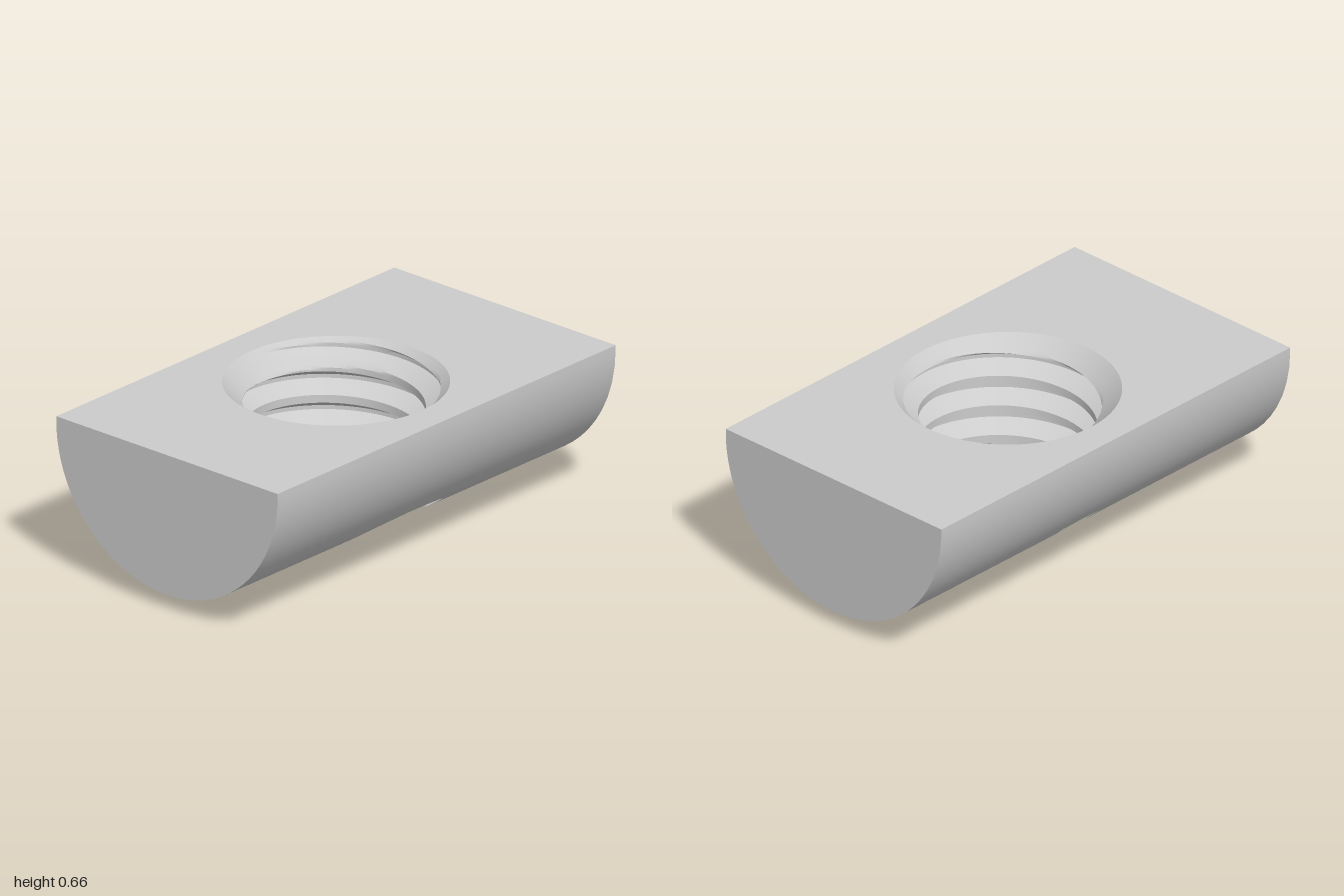
import * as THREE from 'three';
import { toCreasedNormals } from 'three/addons/utils/BufferGeometryUtils.js';

const TOP = 0.66, AXIS = 0.645, R = 0.585, HALF = 1;   // half-round bar
const MINOR = 0.355, MAJOR = 0.43, PITCH = 0.134;      // thread
const MOUTH = 0.45;                                    // countersink radius at the top
const N = 128;                                         // steps around the hole (multiple of 8)
const S_MAX = Math.PI / 2 + (TOP - AXIS) / R;          // bar profile runs from -S_MAX to S_MAX

// Grid surface from a function (i, j) -> [x, y, z]
function grid(nu, nv, f) {
  const pos = [], index = [];
  for (let i = 0; i <= nu; i++) for (let j = 0; j <= nv; j++) pos.push(...f(i, j));
  for (let i = 0; i < nu; i++) for (let j = 0; j < nv; j++) {
    const a = i * (nv + 1) + j, b = a + nv + 1;
    index.push(a, a + 1, b, b, a + 1, b + 1);
  }
  const g = new THREE.BufferGeometry();
  g.setAttribute('position', new THREE.Float32BufferAttribute(pos, 3));
  g.setIndex(index);
  return g;
}

// Point [y, z] on the bar's round profile; straight above the axis
function profile(s) {
  const c = THREE.MathUtils.clamp(s, -Math.PI / 2, Math.PI / 2);
  return [AXIS - R * Math.cos(c) + Math.abs(s - c) * R, -R * Math.sin(c)];
}

// Hole radius: right-hand thread with flat crests and roots, opened by the countersink
function holeRadius(theta, y) {
  const turn = (y - 0.615) / PITCH - theta / (2 * Math.PI);
  const d = Math.abs(turn - Math.round(turn));         // 0 = root, 0.5 = crest
  const depth = THREE.MathUtils.clamp((0.375 - d) / 0.3125, 0, 1);
  return Math.max(MINOR + (MAJOR - MINOR) * depth, MOUTH - (TOP - y));
}

// Height at which the hole wall breaks out of the round underside
function rimHeight(theta) {
  let y = TOP;
  while (y > 0.05) {
    const z = holeRadius(theta, y) * Math.sin(theta);
    if (y <= AXIS - Math.sqrt(R * R - z * z)) break;
    y -= 0.001;
  }
  return y;
}

export function createModel() {
  const group = new THREE.Group();
  const material = new THREE.MeshStandardMaterial({ color: 0xcccccc });
  const add = (name, geometry) => {
    const mesh = new THREE.Mesh(geometry, material);
    mesh.name = name;
    group.add(mesh);
    return mesh;
  };
  const angle = (i) => (i / N) * Math.PI * 2;
  const rim = Array.from({ length: N + 1 }, (_, i) => rimHeight(angle(i % N)));

  // Flat top with the countersunk mouth
  const top = new THREE.Shape([[-HALF, -R], [HALF, -R], [HALF, R], [-HALF, R]]
    .map(([x, y]) => new THREE.Vector2(x, y)));
  top.holes.push(new THREE.Path(Array.from({ length: N }, (_, i) =>
    new THREE.Vector2(MOUTH * Math.cos(angle(i)), MOUTH * Math.sin(angle(i))))));
  add('topFace', new THREE.ShapeGeometry(top).rotateX(-Math.PI / 2).translate(0, TOP, 0));

  // Round underside, blended from its rectangular outline to the hole's rim
  const rows = 24;
  const under = grid(N, rows, (i, j) => {
    const t = angle(i), c = Math.cos(t), n = Math.sin(t);
    const m = Math.max(Math.abs(c), Math.abs(n));
    const r = holeRadius(t, rim[i]);
    const x = THREE.MathUtils.lerp(HALF * c / m, r * c, j / rows);
    const s = THREE.MathUtils.lerp(S_MAX * n / m, Math.asin(r * n / R), j / rows);
    return [x, ...profile(s)];
  });
  const p = under.attributes.position, normals = [];
  for (let i = 0; i < p.count; i++) {
    const v = new THREE.Vector3(0, Math.min(p.getY(i) - AXIS, 0), p.getZ(i)).normalize();
    normals.push(v.x, v.y, v.z);
  }
  under.setAttribute('normal', new THREE.Float32BufferAttribute(normals, 3));
  add('roundUnderside', under);

  // Threaded wall: rows follow the helix and are trimmed at the rim and the top
  const perTurn = 16, turns = 7;
  const wall = grid(N, perTurn * turns, (i, j) => {
    const t = angle(i);
    const helixY = 0.615 + PITCH * (j / perTurn - 6 + t / (2 * Math.PI));
    const y = j === 0 ? rim[i] : j === perTurn * turns ? TOP
      : THREE.MathUtils.clamp(helixY, rim[i], TOP);
    const r = holeRadius(t, y);
    return [r * Math.cos(t), y, -r * Math.sin(t)];
  });
  add('threadedHole', toCreasedNormals(wall, 0.5));

  // Half-round end faces
  const outline = Array.from({ length: 65 }, (_, i) => {
    const [y, z] = profile(S_MAX * (1 - i / 32));
    return new THREE.Vector2(z, y);
  });
  for (const side of [1, -1]) {
    const shape = new THREE.Shape(outline.map((v) => new THREE.Vector2(-side * v.x, v.y)));
    add(side > 0 ? 'leftEnd' : 'rightEnd', new THREE.ShapeGeometry(shape)
      .rotateY(side * Math.PI / 2).translate(side * HALF, 0, 0));
  }

  // Spring ball pressed into the underside
  add('springBall', new THREE.SphereGeometry(0.15, 48, 32)).position.set(0.785, 0.15, 0);

  return group;
}
